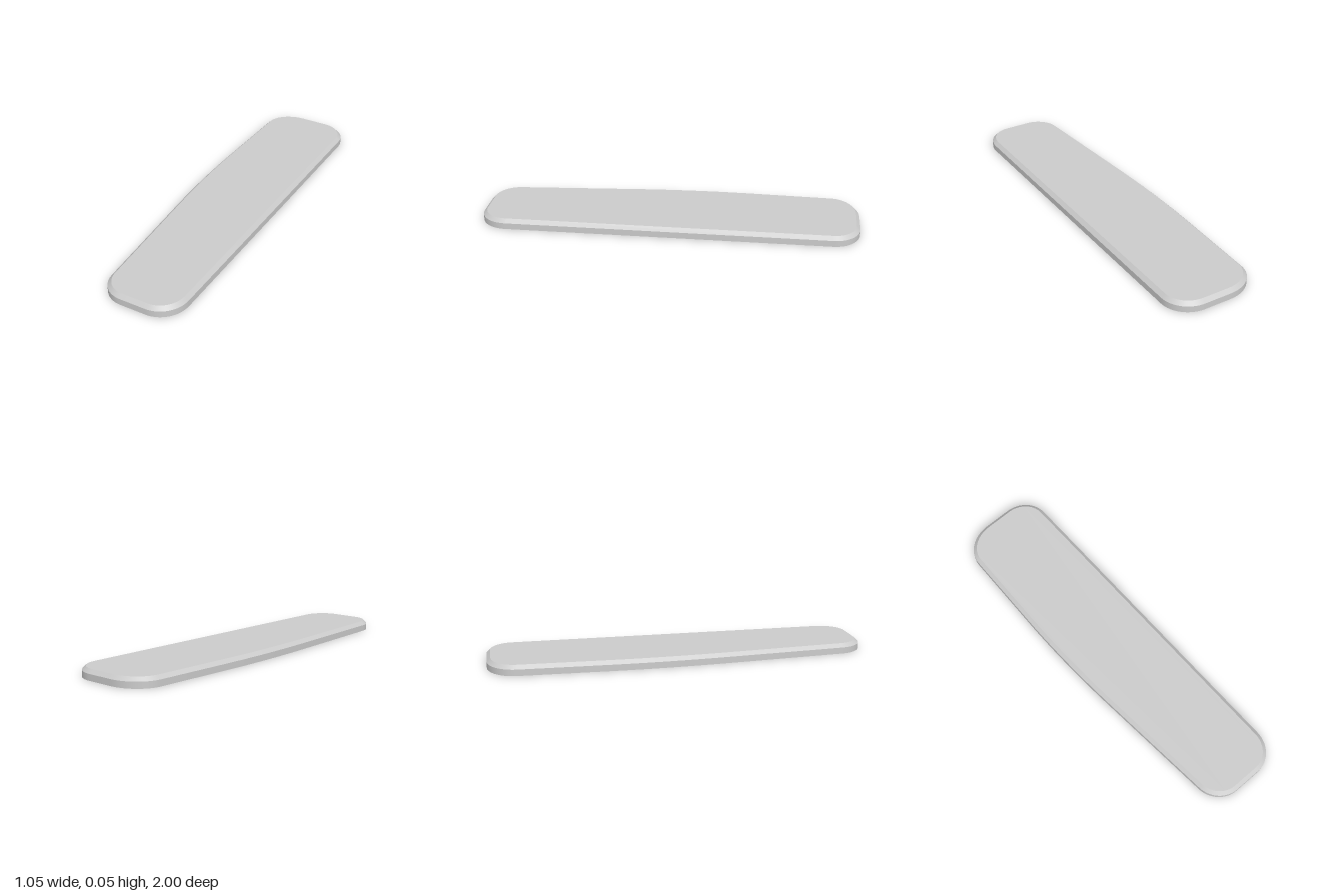
import * as THREE from 'three';

// Plan outline (x, z): rounded panel with one straight and one bent long side
function makeOutline() {
  const s = new THREE.Shape();
  // Round corner, given its sharp point and its end
  const corner = (px, pz, x, z, k = 0.56) => {
    const { x: ax, y: az } = s.currentPoint;
    s.bezierCurveTo(
      ax + (px - ax) * k, az + (pz - az) * k,
      x + (px - x) * k, z + (pz - z) * k, x, z);
  };
  s.moveTo(0.29, -0.985);
  s.lineTo(0.427, -0.93);
  corner(0.568, -0.873, 0.517, -0.74);
  s.lineTo(-0.11, 0.899);
  corner(-0.165, 1.043, -0.30, 0.989);
  s.lineTo(-0.437, 0.933);
  corner(-0.558, 0.884, -0.52, 0.755);
  s.lineTo(-0.33, 0.122);
  s.quadraticCurveTo(-0.23, -0.212, -0.103, -0.513);
  s.lineTo(0.065, -0.915);
  corner(0.125, -1.052, 0.29, -0.985);
  return s.getPoints(16).slice(0, -1);
}

// Outward mitre vector at every outline point
function outlineNormals(pts) {
  const n = pts.length;
  const edge = i => {
    const a = pts[i % n], b = pts[(i + 1) % n];
    return new THREE.Vector2(b.y - a.y, a.x - b.x).normalize();
  };
  return pts.map((_, i) => edge(i + n - 1).add(edge(i)).normalize());
}

// Smooth strip between two heights and insets
function band(pts, nor, y0, in0, y1, in1) {
  const pos = [], nrm = [], idx = [], n = pts.length;
  const slope = new THREE.Vector2(y1 - y0, in1 - in0).normalize();
  for (let i = 0; i <= n; i++) {
    const p = pts[i % n], m = nor[i % n];
    for (const [y, d] of [[y0, in0], [y1, in1]]) {
      pos.push(p.x - m.x * d, y, p.y - m.y * d);
      nrm.push(m.x * slope.x, slope.y, m.y * slope.x);
    }
    if (i < n) {
      const a = 2 * i;
      idx.push(a, a + 1, a + 3, a, a + 3, a + 2);
    }
  }
  const g = new THREE.BufferGeometry();
  g.setAttribute('position', new THREE.Float32BufferAttribute(pos, 3));
  g.setAttribute('normal', new THREE.Float32BufferAttribute(nrm, 3));
  g.setIndex(idx);
  return g;
}

// Flat top face inside the chamfer
function topCap(pts, nor, y, inset) {
  const loop = pts.map((p, i) => p.clone().addScaledVector(nor[i], -inset));
  const tris = THREE.ShapeUtils.triangulateShape(loop, []);
  const g = new THREE.BufferGeometry();
  g.setAttribute('position', new THREE.Float32BufferAttribute(loop.flatMap(p => [p.x, y, p.y]), 3));
  g.setAttribute('normal', new THREE.Float32BufferAttribute(loop.flatMap(() => [0, 1, 0]), 3));
  g.setIndex(tris.flatMap(([a, b, c]) => [a, c, b]));
  return g;
}

// Thin shell, open underneath
export function createModel() {
  const group = new THREE.Group();
  group.name = 'panel';
  const material = new THREE.MeshStandardMaterial({ color: 0xcccccc, side: THREE.DoubleSide });
  const pts = makeOutline(), nor = outlineNormals(pts);
  const edgeY = 0.034, topY = 0.054, inset = 0.02;
  const parts = {
    sideWall: band(pts, nor, 0, 0, edgeY, 0),
    chamfer: band(pts, nor, edgeY, 0, topY, inset),
    topFace: topCap(pts, nor, topY, inset),
  };
  for (const [name, geometry] of Object.entries(parts)) {
    const mesh = new THREE.Mesh(geometry, material);
    mesh.name = name;
    group.add(mesh);
  }
  return group;
}
